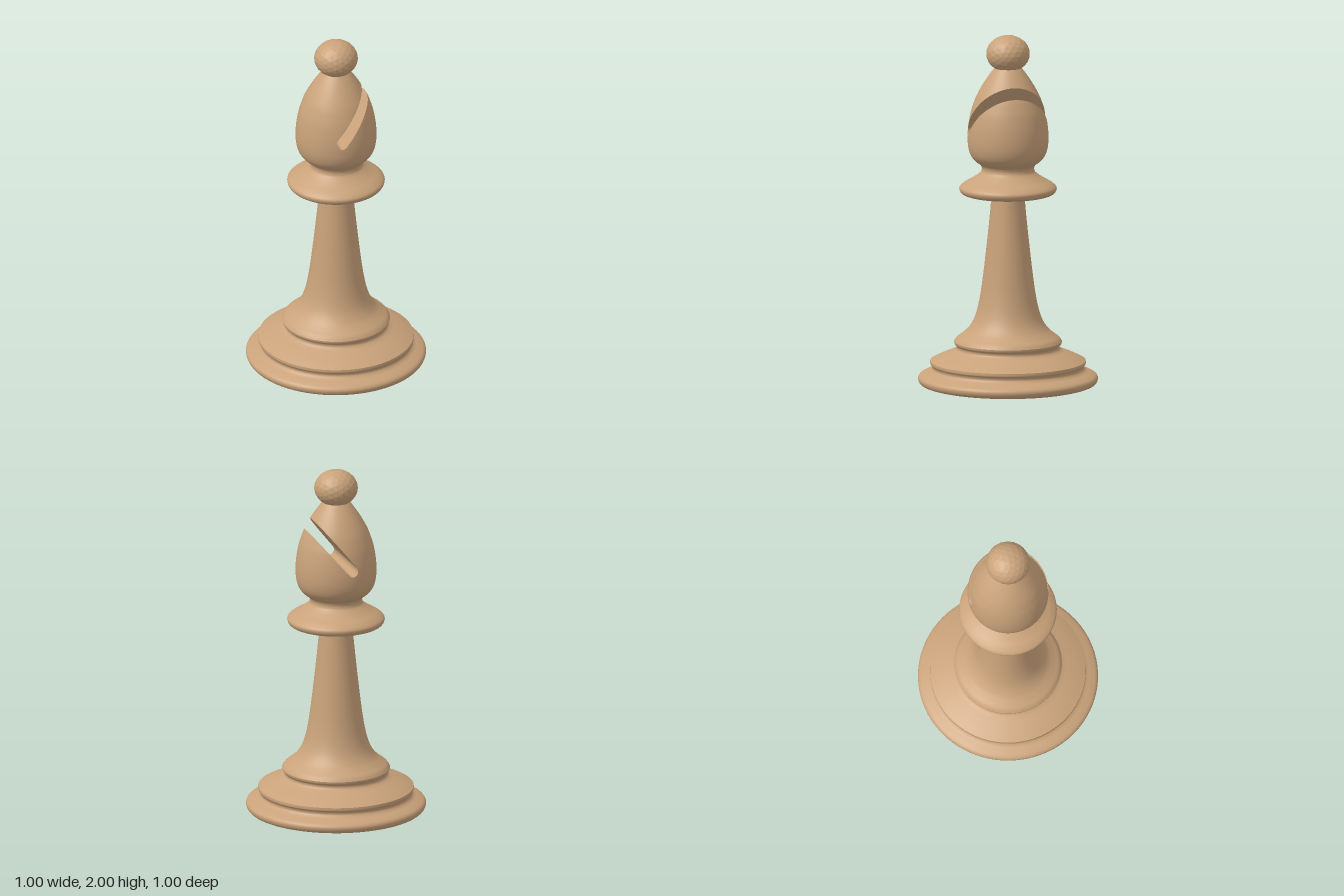
import * as THREE from 'three';

const wood = new THREE.MeshStandardMaterial({ color: 0xc9a27a });
wood.name = 'tan wood';

const SEGMENTS = 72;
const vectors = (pairs) => pairs.map(([x, y]) => new THREE.Vector2(x, y));

function addMesh(group, name, geometry) {
  const mesh = new THREE.Mesh(geometry, wood);
  mesh.name = name;
  group.add(mesh);
  return mesh;
}

// Turned part: smooth profile through [radius, height] pairs, listed upwards
function turned(pairs, steps = 6) {
  const points = new THREE.SplineCurve(vectors(pairs)).getPoints((pairs.length - 1) * steps);
  return new THREE.LatheGeometry(points, SEGMENTS);
}

// Surface through rows of points; faces point along (row direction x column direction)
function sheet(rows) {
  const columns = rows[0].length;
  const index = [];
  for (let i = 0; i < rows.length - 1; i++) {
    for (let j = 0; j < columns - 1; j++) {
      const a = i * columns + j, b = a + columns;
      index.push(a, b, a + 1, b, b + 1, a + 1);
    }
  }
  const geometry = new THREE.BufferGeometry();
  geometry.setAttribute('position', new THREE.Float32BufferAttribute(rows.flat(2), 3));
  geometry.setIndex(index);
  geometry.computeVertexNormals();
  return geometry;
}

// Head outline, sampled so that the radius can be looked up by height
const headCurve = new THREE.SplineCurve(vectors([
  [0.145, 1.25], [0.152, 1.27], [0.182, 1.293], [0.207, 1.325], [0.221, 1.37], [0.225, 1.425],
  [0.221, 1.49], [0.209, 1.56], [0.194, 1.61], [0.175, 1.66], [0.143, 1.719],
  [0.11, 1.77], [0.08, 1.81], [0.06, 1.832],
])).getPoints(260);

function headRadius(y) {
  let i = 1;
  while (i < headCurve.length - 1 && headCurve[i].y < y) i++;
  const p = headCurve[i - 1], q = headCurve[i];
  return THREE.MathUtils.lerp(p.x, q.x, THREE.MathUtils.clamp((y - p.y) / (q.y - p.y), 0, 1));
}

// Slanted slot with a round end, running through the whole depth of the head
const slot = { x: -0.027, y: 1.469, half: 0.032, dx: 0.63, dy: 0.777 };
const slotBottom = slot.y - slot.half;

// x of the slot's edge at a height: side -1 is the upper left edge, +1 the lower right
function slotEdge(y, side) {
  const tangentX = slot.x + side * slot.half * slot.dy;
  const tangentY = slot.y - side * slot.half * slot.dx;
  if (y < tangentY) {
    return slot.x + side * Math.sqrt(Math.max(0, slot.half ** 2 - (y - slot.y) ** 2));
  }
  return tangentX + (y - tangentY) * slot.dx / slot.dy;
}

// Height at which a slot edge comes out through the head's surface
function slotExit(side) {
  let low = slot.y, high = 1.8;
  for (let i = 0; i < 40; i++) {
    const middle = (low + high) / 2;
    if (slotEdge(middle, side) < headRadius(middle)) low = middle; else high = middle;
  }
  return low;
}

function headLathe(from, to, steps) {
  const points = [];
  for (let i = 0; i <= steps; i++) {
    const y = THREE.MathUtils.lerp(from, to, i / steps);
    points.push(new THREE.Vector2(headRadius(y), y));
  }
  return new THREE.LatheGeometry(points, SEGMENTS);
}

// Outer skin and inner wall of the head on one side of the slot
function headSide(side) {
  const skin = [], wall = [];
  const top = slotExit(side), levels = 44;
  for (let i = 0; i <= levels; i++) {
    const t = (1 - Math.cos(Math.PI * i / levels)) / 2;
    const y = THREE.MathUtils.lerp(slotBottom, top, t);
    const r = headRadius(y);
    const x = Math.min(slotEdge(y, side), r);
    const angle = Math.acos(x / r), width = r * Math.sin(angle);
    const start = side < 0 ? angle : -angle;
    const end = side < 0 ? 2 * Math.PI - angle : angle;
    const arc = [];
    for (let j = 0; j <= SEGMENTS; j++) {
      const a = THREE.MathUtils.lerp(start, end, j / SEGMENTS);
      arc.push([r * Math.cos(a), y, r * Math.sin(a)]);
    }
    skin.push(arc);
    wall.push([[x, y, side * width], [x, y, -side * width]]);
  }
  return { skin: sheet(skin), wall: sheet(wall), top };
}

export function createModel() {
  const model = new THREE.Group();
  model.name = 'chessBishop';

  // Stepped base
  const base = new THREE.Group();
  base.name = 'base';
  model.add(base);
  addMesh(base, 'underside', turned([[0, 0], [0.2, 0.008], [0.36, 0.018], [0.46, 0.03]]));
  addMesh(base, 'footRim', turned([
    [0.46, 0.03], [0.485, 0.038], [0.497, 0.052], [0.5, 0.07], [0.49, 0.085],
    [0.465, 0.098], [0.437, 0.11], [0.423, 0.124], [0.424, 0.138], [0.432, 0.15], [0.432, 0.166],
  ]));
  addMesh(base, 'upperStep', turned([
    [0.432, 0.166], [0.39, 0.187], [0.345, 0.206], [0.305, 0.222], [0.288, 0.235],
    [0.287, 0.25], [0.297, 0.262], [0.3, 0.275],
  ]));

  // Tapering stem
  addMesh(model, 'stem', turned([
    [0.3, 0.275], [0.285, 0.295], [0.255, 0.318], [0.222, 0.348], [0.192, 0.395], [0.17, 0.46],
    [0.152, 0.55], [0.137, 0.66], [0.123, 0.78], [0.11, 0.9], [0.099, 1.01], [0.091, 1.11],
  ]));

  // Collar
  addMesh(model, 'collarUnderside', turned([[0.085, 1.1], [0.16, 1.1], [0.235, 1.103]]));
  addMesh(model, 'collar', turned([
    [0.235, 1.103], [0.258, 1.112], [0.27, 1.13], [0.267, 1.148], [0.24, 1.17], [0.205, 1.19],
    [0.172, 1.212], [0.15, 1.232], [0.145, 1.25],
  ]));

  // Head with the slanted slot
  const head = new THREE.Group();
  head.name = 'head';
  model.add(head);
  const right = headSide(-1), left = headSide(1);
  addMesh(head, 'headLower', headLathe(1.25, slotBottom, 36));
  addMesh(head, 'headMainSkin', right.skin);
  addMesh(head, 'slotUpperWall', right.wall);
  addMesh(head, 'headLipSkin', left.skin);
  addMesh(head, 'slotLowerWall', left.wall);
  addMesh(head, 'headTip', headLathe(right.top, 1.832, 20));

  // Faceted ball on top
  const ball = new THREE.IcosahedronGeometry(0.122, 3);
  ball.scale(1, 0.85, 1);
  ball.computeVertexNormals();
  addMesh(model, 'finial', ball).position.y = 1.897;

  return model;
}
